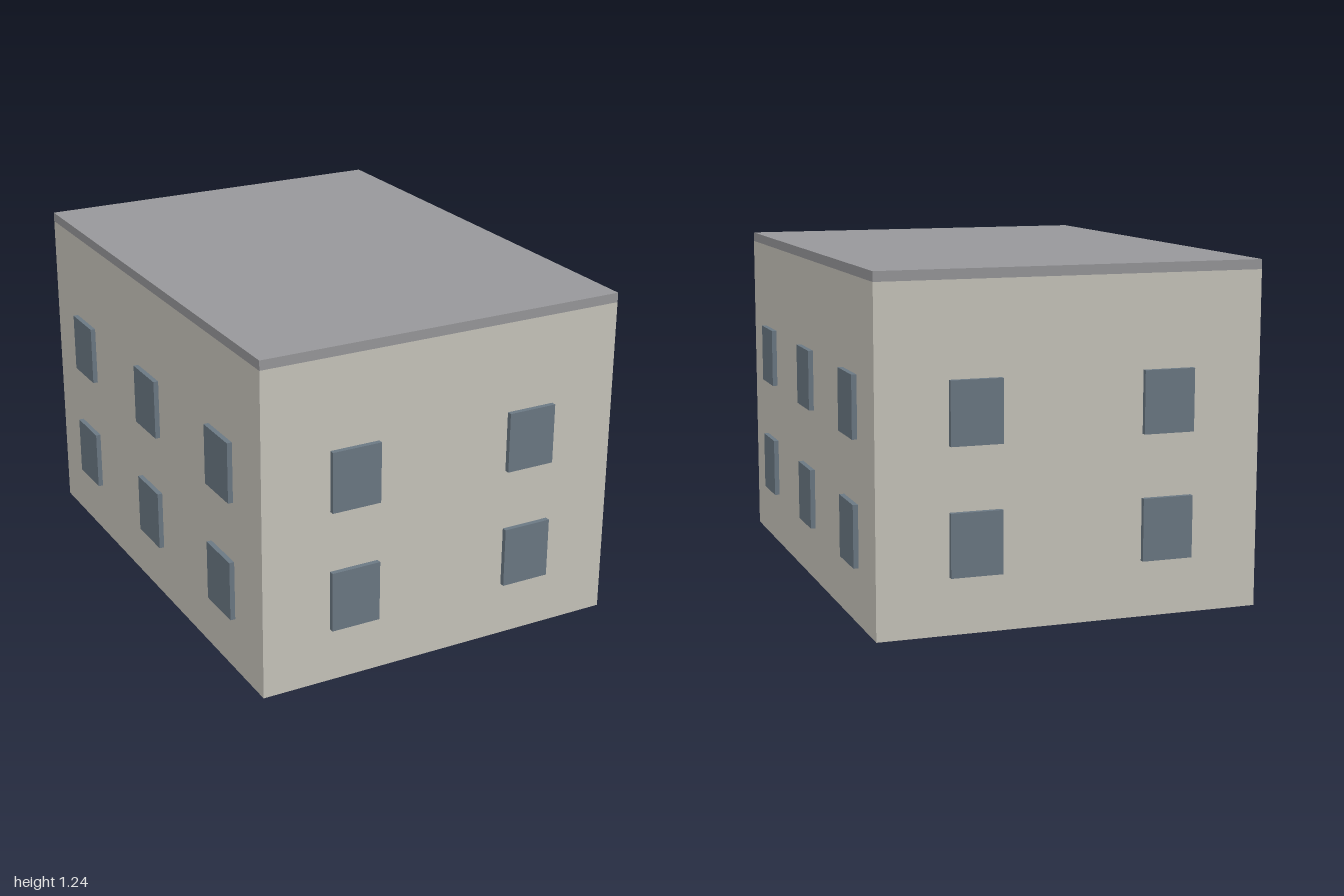
import * as THREE from 'three';

const W = 1.4, D = 1.857, WALL_H = 1.205, ROOF_H = 0.035;

function material(name, color) {
  const m = new THREE.MeshStandardMaterial({ color });
  m.name = name;
  return m;
}

export function createModel() {
  const wallMat = material('wall plaster', 0xc8c5bc);
  const roofMat = material('roof grey', 0x97979a);
  const glassMat = material('window blue grey', 0x6b7883);

  const model = new THREE.Group();
  model.name = 'building';

  function addBox(name, mat, w, h, d, x, y, z) {
    const mesh = new THREE.Mesh(new THREE.BoxGeometry(w, h, d), mat);
    mesh.name = name;
    mesh.position.set(x, y, z);
    model.add(mesh);
  }

  // Body and flush roof slab
  addBox('walls', wallMat, W, WALL_H, D, 0, WALL_H / 2, 0);
  addBox('roof', roofMat, W, ROOF_H, D, 0, WALL_H + ROOF_H / 2, 0);

  // Windows: two floors, half sunk into each wall
  const size = 0.186, height = 0.223, depth = 0.037;
  for (const y of [0.313, 0.762]) {
    for (const side of [-1, 1]) {
      for (const x of [-W / 4, W / 4])
        addBox(side > 0 ? 'frontWindow' : 'backWindow', glassMat, size, height, depth, x, y, side * D / 2);
      for (const z of [-D / 3, 0, D / 3])
        addBox(side > 0 ? 'leftWindow' : 'rightWindow', glassMat, depth, height, size, side * W / 2, y, z);
    }
  }

  // The building stands slightly turned on its plot
  model.rotation.y = 0.107;
  const root = new THREE.Group();
  root.add(model);
  return root;
}
